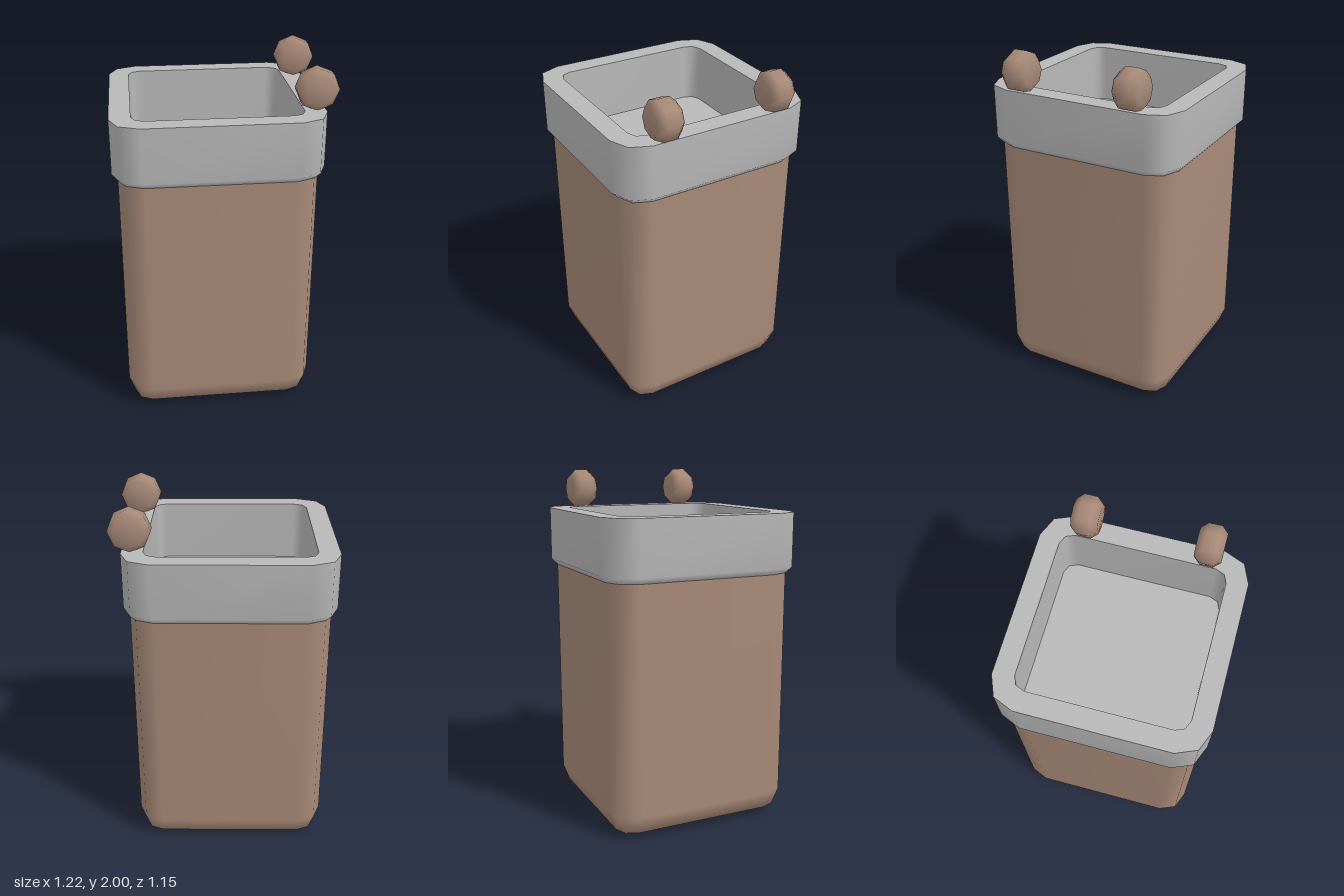
import * as THREE from 'three';

const CORNER_STEPS = 2;

// Rounded square outline at height y
function outline([half, radius, y]) {
  const pts = [];
  for (let q = 0; q < 4; q++) {
    const mid = (q + 0.5) * Math.PI / 2;
    const cx = Math.sign(Math.cos(mid)) * (half - radius);
    const cz = Math.sign(Math.sin(mid)) * (half - radius);
    for (let s = 0; s <= CORNER_STEPS; s++) {
      const a = (q + s / CORNER_STEPS) * Math.PI / 2;
      pts.push(cx + radius * Math.cos(a), y, cz + radius * Math.sin(a));
    }
  }
  return pts;
}

// Skin a list of [half width, corner radius, y] sections, with optional end caps
function loft(sections, capStart = false, capEnd = false) {
  const n = 4 * (CORNER_STEPS + 1);
  const pos = sections.flatMap(outline);
  const index = [];
  for (let k = 0; k < sections.length - 1; k++) {
    for (let i = 0; i < n; i++) {
      const a = k * n + i, b = k * n + (i + 1) % n;
      index.push(a, a + n, b, a + n, b + n, b);
    }
  }
  const cap = (k, flip) => {
    const c = pos.length / 3;
    pos.push(0, sections[k][2], 0);
    for (let i = 0; i < n; i++) {
      const a = k * n + i, b = k * n + (i + 1) % n;
      index.push(c, flip ? b : a, flip ? a : b);
    }
  };
  if (capStart) cap(0, false);
  if (capEnd) cap(sections.length - 1, true);
  const geo = new THREE.BufferGeometry();
  geo.setAttribute('position', new THREE.Float32BufferAttribute(pos, 3));
  geo.setIndex(index);
  geo.computeVertexNormals();
  return geo;
}

export function createModel() {
  const model = new THREE.Group();
  model.name = 'bin';
  const brown = new THREE.MeshStandardMaterial({ color: 0xa88a78 });
  brown.name = 'brown';
  const grey = new THREE.MeshStandardMaterial({ color: 0xb8b8b8 });
  grey.name = 'grey';

  const add = (name, geo, mat, x, y = 0, z = 0) => {
    const mesh = new THREE.Mesh(geo, mat);
    mesh.name = name;
    mesh.position.set(x, y, z);
    model.add(mesh);
    return mesh;
  };

  // Container, set slightly to the right of the hinges
  const binX = -0.037;
  add('body', loft([
    [0.405, 0.005, 0], [0.505, 0.1, 0.04], [0.543, 0.138, 0.14], [0.543, 0.138, 1.46],
  ], true), brown, binX);

  // Rim collar: outside, flat lip, inside walls and floor
  const inner = [0.46, 0.07], top = 1.78, floor = 1.44;
  add('rimOutside', loft([
    [0.543, 0.138, 1.44], [0.576, 0.16, 1.475], [0.576, 0.16, top],
  ]), grey, binX);
  add('rimLip', loft([[0.576, 0.16, top], [...inner, top]]), grey, binX);
  add('insideWalls', loft([[...inner, top], [...inner, floor]]), grey, binX);
  add('insideFloor', loft([[...inner, floor]], false, true), grey, binX);

  // Bevelled eight-sided hinge barrels
  const profile = [[0, -0.074], [0.08, -0.074], [0.115, -0.036], [0.115, 0.036], [0.08, 0.074], [0, 0.074]]
    .map(([r, h]) => new THREE.Vector2(r, h));
  const barrel = new THREE.LatheGeometry(profile, 8).rotateX(Math.PI / 2);
  for (const side of [1, -1]) {
    add(side > 0 ? 'frontHinge' : 'backHinge', barrel, brown, 0.495, 1.885, side * 0.335);
  }
  return model;
}
